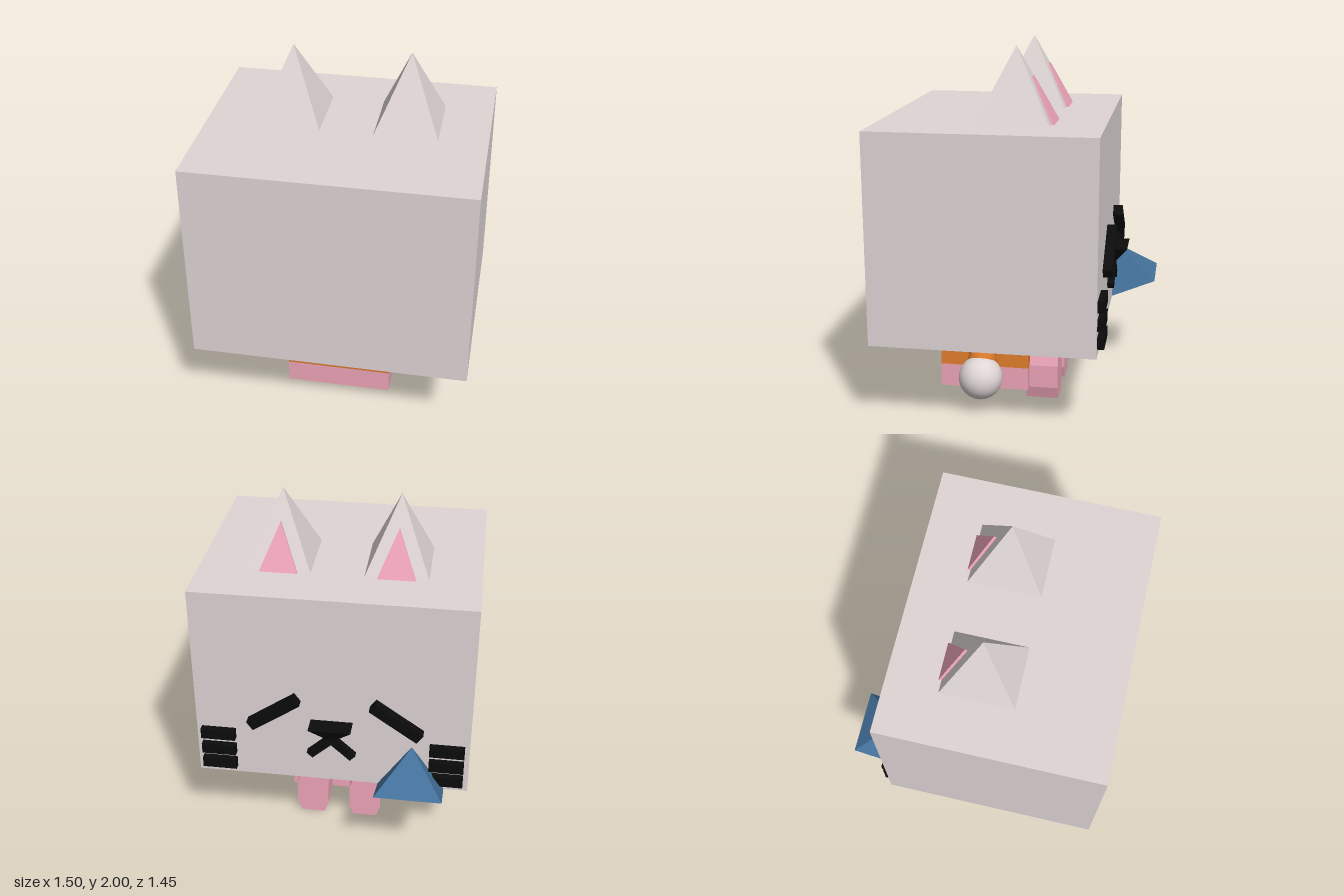
import * as THREE from 'three';

const mat = (color, flatShading = true) => new THREE.MeshStandardMaterial({ color, flatShading });
const skin = mat(0xdfd5d5), skinSmooth = mat(0xdfd5d5, false);
const pink = mat(0xeea5b8), orange = mat(0xd8782a), orangeSmooth = mat(0xd8782a, false);
const black = mat(0x0c0c0c), blue = mat(0x44709a);

export function createModel() {
  const model = new THREE.Group();

  const add = (name, geometry, material, x = 0, y = 0, z = 0) => {
    const mesh = new THREE.Mesh(geometry, material);
    mesh.name = name;
    mesh.position.set(x, y, z);
    model.add(mesh);
    return mesh;
  };
  const box = (name, w, h, d, material, x, y, z) =>
    add(name, new THREE.BoxGeometry(w, h, d), material, x, y, z);

  // Four-sided pyramid with its base centred on the origin
  const pyramid = (w, h, d) =>
    new THREE.ConeGeometry(Math.SQRT1_2, h, 4, 1)
      .rotateY(Math.PI / 4).scale(w, 1, d).translate(0, h / 2, 0);

  // Flat outline extruded along +z
  const plate = (points, depth) => new THREE.ExtrudeGeometry(
    new THREE.Shape(points.map(([x, y]) => new THREE.Vector2(x, y))),
    { depth, bevelEnabled: false });

  // Box whose vertices are moved by a rule
  const shapedBox = (w, h, d, rule) => {
    const geometry = new THREE.BoxGeometry(w, h, d);
    const p = geometry.attributes.position, v = new THREE.Vector3();
    for (let i = 0; i < p.count; i++) {
      rule(v.fromBufferAttribute(p, i));
      p.setXYZ(i, v.x, v.y, v.z);
    }
    geometry.computeVertexNormals();
    return geometry;
  };

  // Head
  box('head', 1.5, 1.14, 1.2, skin, 0, 1.035, 0.125);

  // Ears with pink inner plates leaning on the face side
  for (const [side, x] of [['right', -0.305], ['left', 0.32]]) {
    add(side + 'Ear', pyramid(0.34, 0.395, 0.395), skin, x, 1.605, 0.003);
    const inner = add(side + 'InnerEar', plate([[-0.103, 0], [0.103, 0], [0, 0.27]], 0.035),
      pink, x, 1.605, -0.21);
    inner.rotation.x = Math.atan2(0.195, 0.395);
  }

  // Slanted eyes, whiskers and mouth
  for (const [side, s, eyeX] of [['right', -1, -0.352], ['left', 1, 0.313]]) {
    box(side + 'Eye', 0.315, 0.06, 0.07, black, eyeX, 0.915, -0.493).rotation.z = -s * 0.61;
    for (const y of [0.735, 0.635, 0.54])
      box(side + 'Whisker', 0.19, 0.062, 0.05, black, s * 0.628, y, -0.487);
    box(side + 'Mouth', 0.16, 0.045, 0.05, black, s * 0.06, 0.705, -0.487).rotation.z = -s * 0.75;
  }

  // Wedge nose narrowing to a point below
  add('nose', shapedBox(0.23, 0.12, 0.115, v => {
    if (v.y < 0) { v.x *= 0.1; v.z = v.z < 0 ? 0.03 : v.z; }
  }), black, 0, 0.805, -0.522);

  // Blue tilted pyramid on the cheek
  const cheek = add('cheekPyramid', pyramid(0.365, 0.25, 0.31), blue, -0.438, 0.51, -0.582);
  cheek.rotation.x = Math.atan2(0.12, 0.285);

  // Body
  box('hips', 0.585, 0.13, 0.5, pink, 0.005, 0.135, 0.195);
  add('shirt', shapedBox(0.585, 0.3, 0.5, v => { if (v.y > 0) v.x *= 0.88; }),
    orange, 0.005, 0.35, 0.195);

  // Bow tie with hanging tail
  for (const s of [-1, 1]) {
    const wing = s > 0 ? [[0, 0.38], [0.11, 0.34], [0.11, 0.48], [0, 0.44]]
      : [[0, 0.44], [-0.11, 0.48], [-0.11, 0.34], [0, 0.38]];
    add('bowWing', plate(wing, 0.06), black, 0, 0, -0.105);
  }
  box('bowTail', 0.05, 0.15, 0.04, black, 0, 0.345, -0.067);

  // Arms, hands and feet
  const foot = [[-0.07, 0], [0.07, 0], [0.092, 0.07], [0.092, 0.2],
    [0.07, 0.27], [-0.07, 0.27], [-0.092, 0.2], [-0.092, 0.07]];
  for (const [side, s] of [['right', -1], ['left', 1]]) {
    const hand = new THREE.Vector3(s * 0.456, 0.2, 0.185);
    const shoulder = new THREE.Vector3(s * 0.245, 0.52, 0.185);
    const along = shoulder.clone().sub(hand);
    const arm = add(side + 'Arm', new THREE.CylinderGeometry(0.062, 0.084, along.length(), 32),
      orangeSmooth);
    arm.position.copy(hand).lerp(shoulder, 0.5);
    arm.quaternion.setFromUnitVectors(new THREE.Vector3(0, 1, 0), along.normalize());
    add(side + 'Hand', new THREE.SphereGeometry(0.12, 32, 20), skinSmooth, ...hand.toArray());
    add(side + 'Foot', plate(foot, 0.18), pink, s * 0.155, 0, -0.215);
  }

  return model;
}
